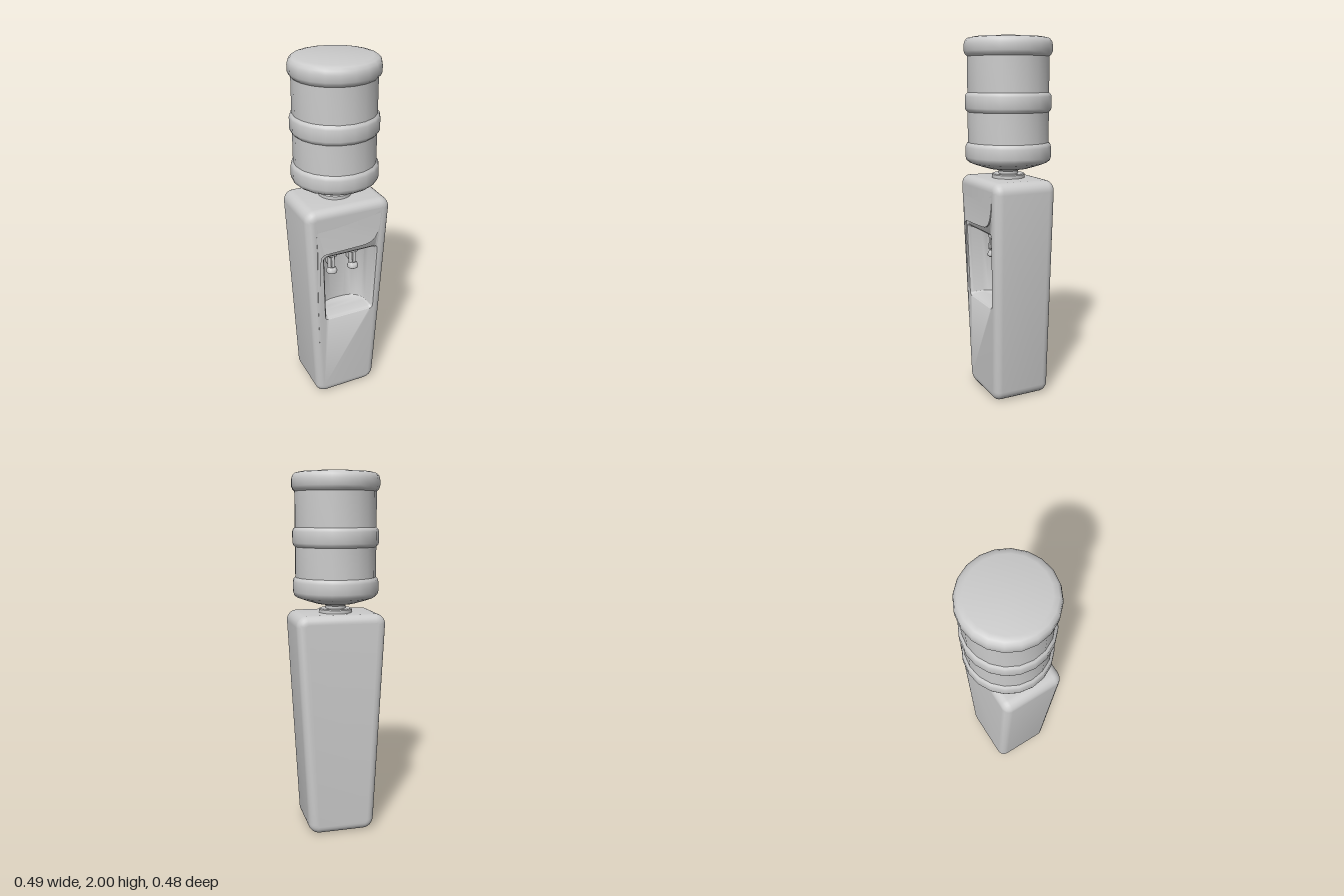
import * as THREE from 'three';
import { toCreasedNormals, mergeVertices } from 'three/addons/utils/BufferGeometryUtils.js';
import { RoundedBoxGeometry } from 'three/addons/geometries/RoundedBoxGeometry.js';

const material = new THREE.MeshStandardMaterial({ color: 0xcccccc, side: THREE.DoubleSide });

function add(parent, name, geometry, x = 0, y = 0, z = 0) {
  const mesh = new THREE.Mesh(geometry, material);
  mesh.name = name;
  mesh.position.set(x, y, z);
  parent.add(mesh);
  return mesh;
}

// The front leans out slightly towards the top
const lean = (y) => 0.87 + 0.13 * Math.min(y / 1.2, 1);

// Tapered rectangle with rounded corners, counter-clockwise from the front
function outline({ cx, hb, ht, y0, y1, r }, ix = 0, iy = ix) {
  const points = [];
  const rad = Math.max(r - Math.min(ix, iy), 0.004);
  const corners = [[1, 1], [-1, 1], [-1, -1], [1, -1]];
  corners.forEach(([sx, sy], c) => {
    for (let i = 0; i <= 6; i++) {
      const a = (c + i / 6) * Math.PI / 2;
      const y = (sy > 0 ? y1 - iy : y0 + iy) - sy * rad + rad * Math.sin(a);
      const half = THREE.MathUtils.lerp(hb, ht, (y - y0) / (y1 - y0)) - ix - rad;
      points.push(new THREE.Vector2(cx + sx * half + rad * Math.cos(a), y));
    }
  });
  return points;
}

function cabinetGeometry() {
  const pos = [];
  const put = (p, z) => pos.push(p.x, p.y, z > 0 ? z * lean(p.y) : z);
  const skin = (rings) => {
    for (let k = 0; k + 1 < rings.length; k++) {
      const [a, za] = rings[k], [b, zb] = rings[k + 1];
      a.forEach((_, i) => {
        const j = (i + 1) % a.length;
        put(a[i], za); put(a[j], za); put(b[j], zb);
        put(a[i], za); put(b[j], zb); put(b[i], zb);
      });
    }
  };
  const cap = (contour, holes, z, flip) => {
    const all = contour.concat(...holes);
    for (const f of THREE.ShapeUtils.triangulateShape(contour, holes)) {
      (flip ? [f[0], f[2], f[1]] : f).forEach((i) => put(all[i], z));
    }
  };

  // Outer shell with rounded front and back edges
  const shell = { cx: 0, hb: 0.187, ht: 0.25, y0: 0.005, y1: 1.25, r: 0.06 };
  const bevel = 0.045, back = -0.168, front = 0.19, steps = 6;
  const rings = [];
  for (let i = 0; i <= steps; i++) {
    const a = i / steps * Math.PI / 2;
    rings.push([outline(shell, bevel * (1 - Math.sin(a))), back + bevel * (1 - Math.cos(a))]);
  }
  for (let i = steps; i >= 0; i--) {
    const a = i / steps * Math.PI / 2;
    rings.push([outline(shell, bevel * (1 - Math.sin(a))), front - bevel * (1 - Math.cos(a))]);
  }
  skin(rings);

  // Niche: rounded mouth, straight walls, curved back
  const niche = { cx: 0.01, hb: 0.15, ht: 0.164, y0: 0.55, y1: 0.975, r: 0.022 };
  const hollow = [[0, 0, front], [0.003, 0.003, 0.185], [0.008, 0.01, 0.179], [0.011, 0.014, 0.168],
    [0.012, 0.015, 0.11], [0.02, 0.016, 0.075], [0.04, 0.018, 0.045], [0.07, 0.02, 0.026], [0.11, 0.021, 0.018]]
    .map(([ix, iy, z]) => [outline(niche, ix, iy), z]);
  skin(hollow);

  cap(rings[0][0], [], back, true);
  cap(rings[rings.length - 1][0], [hollow[0][0]], front, false);
  cap(hollow[hollow.length - 1][0], [], 0.018, false);

  const geometry = new THREE.BufferGeometry();
  geometry.setAttribute('position', new THREE.Float32BufferAttribute(pos, 3));
  return toCreasedNormals(geometry, 0.7);
}

// Raised sweep above the niche, fading out at the top and down one side
function sweepGeometry() {
  const s = new THREE.Shape();
  s.moveTo(-0.176, 0.4);
  s.lineTo(-0.172, 0.7);
  s.lineTo(-0.17, 0.96);
  s.quadraticCurveTo(-0.17, 0.993, -0.135, 0.994);
  s.lineTo(0.08, 1.0);
  s.bezierCurveTo(0.17, 1.005, 0.18, 1.06, 0.19, 1.195);
  s.lineTo(-0.195, 1.195);
  s.lineTo(-0.188, 1.0);
  s.lineTo(-0.185, 0.7);
  s.closePath();
  const geometry = new THREE.ExtrudeGeometry(s, { depth: 0.02, bevelEnabled: false, curveSegments: 10 });
  const p = geometry.attributes.position;
  for (let i = 0; i < p.count; i++) {
    const y = p.getY(i);
    const fade = y > 1 ? (1.195 - y) / 0.195 : (y - 0.4) / 0.6;
    const edge = p.getX(i) < -0.18 ? 0.003 : 0;
    p.setZ(i, 0.19 * lean(y) - 0.021 + p.getZ(i) + 0.01 * fade - edge);
  }
  geometry.deleteAttribute('normal');
  geometry.deleteAttribute('uv');
  return toCreasedNormals(mergeVertices(geometry), 0.6);
}

function lathe(profile, segments) {
  const points = profile.map(([r, y]) => new THREE.Vector2(r, y));
  return toCreasedNormals(new THREE.LatheGeometry(points, segments), 0.75);
}

// Tap with mount, body, lever and spout
function makeTap(name, x) {
  const tap = new THREE.Group();
  tap.name = name;
  tap.position.set(x, 0, 0.06);
  add(tap, 'tapMount', new RoundedBoxGeometry(0.032, 0.06, 0.06, 2, 0.006), 0, 0.865, -0.02);
  add(tap, 'tapBody', new RoundedBoxGeometry(0.04, 0.11, 0.03, 2, 0.008), 0, 0.86, 0.005);
  add(tap, 'tapHandle', new RoundedBoxGeometry(0.048, 0.032, 0.045, 2, 0.007), 0, 0.915, 0.01);
  const lever = add(tap, 'tapLever', new RoundedBoxGeometry(0.022, 0.07, 0.012, 2, 0.004), 0, 0.87, 0.028);
  lever.rotation.x = -0.12;
  const spout = [[0, 0.79], [0.02, 0.79], [0.03, 0.797], [0.032, 0.806], [0.026, 0.82], [0.018, 0.83], [0, 0.83]];
  add(tap, 'tapSpout', lathe(spout, 16), 0, 0, 0.012);
  return tap;
}

export function createModel() {
  const model = new THREE.Group();
  model.name = 'waterDispenser';

  add(model, 'cabinet', cabinetGeometry());
  add(model, 'frontSweep', sweepGeometry());
  model.add(makeTap('rightTap', -0.052), makeTap('leftTap', 0.08));

  // Collar that receives the bottle
  add(model, 'collar', lathe([[0, 1.24], [0.092, 1.24], [0.092, 1.268], [0.087, 1.273], [0.055, 1.273], [0, 1.273]], 20));

  // Bottle with three raised bands
  const bottle = [[0.055, 1.26], [0.055, 1.288], [0.065, 1.297], [0.11, 1.302], [0.17, 1.32], [0.215, 1.336],
    [0.231, 1.35], [0.236, 1.368], [0.236, 1.42], [0.232, 1.435], [0.222, 1.445],
    [0.222, 1.608], [0.232, 1.618], [0.236, 1.63], [0.236, 1.69], [0.232, 1.702], [0.222, 1.712],
    [0.222, 1.9], [0.232, 1.91], [0.239, 1.925], [0.239, 1.96], [0.234, 1.98], [0.22, 1.994], [0.195, 2], [0, 2]];
  add(model, 'bottle', lathe(bottle, 20));

  return model;
}
